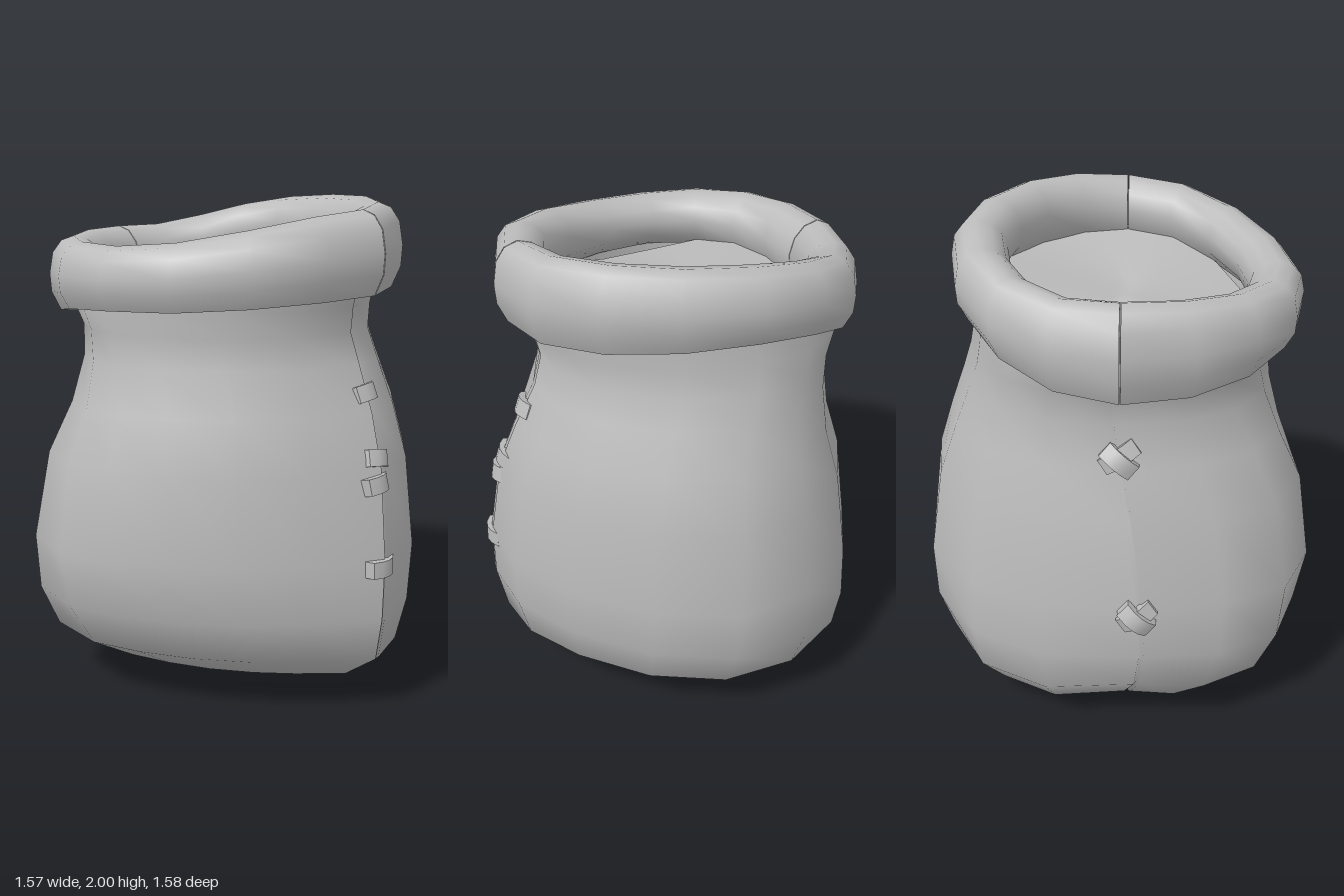
import * as THREE from 'three';
import { toCreasedNormals } from 'three/addons/utils/BufferGeometryUtils.js';

const V = (x, y, z) => new THREE.Vector3(x, y, z);

// Skin a grid of points; rows run bottom to top, columns run right, front, left, back
function loft(rows, wrapColumns, wrapRows) {
  const n = rows[0].length, m = rows.length, index = [];
  for (let i = 0; i < (wrapRows ? m : m - 1); i++) {
    for (let j = 0; j < (wrapColumns ? n : n - 1); j++) {
      const i2 = (i + 1) % m, j2 = (j + 1) % n;
      const a = i * n + j, b = i * n + j2, c = i2 * n + j2, d = i2 * n + j;
      index.push(a, d, c, a, c, b);
    }
  }
  const geometry = new THREE.BufferGeometry().setFromPoints(rows.flat());
  geometry.setIndex(index);
  geometry.computeVertexNormals();
  return geometry;
}

// Outline of the sack at its widest, [x, z], starting at the right seam
const OUTLINE = [
  [0.77, 0.11], [0.58, 0.37], [0.38, 0.54], [0.15, 0.67], [-0.08, 0.76], [-0.3, 0.79],
  [-0.55, 0.68], [-0.67, 0.43], [-0.73, 0.11], [-0.7, -0.27], [-0.56, -0.55], [-0.31, -0.75],
  [0, -0.79], [0.31, -0.65], [0.58, -0.41], [0.74, -0.15],
];

// y, left x, right x, front z, back z, seam z, blend from skewed ellipse to outline, corner bulge
const BODY = [
  [0.05, -0.36, 0.32, 0.21, -0.41, 0.04, 1, 0.12],
  [0.12, -0.56, 0.57, 0.43, -0.57, 0.06, 1, 0.15],
  [0.24, -0.66, 0.73, 0.63, -0.69, 0.1, 1, 0.12],
  [0.42, -0.715, 0.765, 0.74, -0.765, 0.12, 1, 0.05],
  [0.65, -0.73, 0.765, 0.79, -0.785, 0.11, 1, 0],
  [1.0, -0.68, 0.715, 0.75, -0.735, 0.07, 0.8, 0],
  [1.2, -0.62, 0.645, 0.67, -0.67, 0.03, 0.5, 0],
  [1.38, -0.6, 0.565, 0.615, -0.605, 0, 0.2, 0],
  [1.5, -0.62, 0.53, 0.595, -0.565, 0.01, 0, 0],
  [1.6, -0.67, 0.55, 0.615, -0.545, 0.03, 0, 0],
  [1.74, -0.65, 0.58, 0.6, -0.53, 0.03, 0, 0],
];

function bodyRing([y, xL, xR, zF, zB, seam, blend, bulge]) {
  const cx = (xL + xR) / 2, rx = (xR - xL) / 2, ring = [];
  OUTLINE.forEach(([px, pz], j) => {
    const ux = (px - 0.02) / 0.75, uz = (pz - 0.11) / (pz > 0.11 ? 0.68 : 0.9);
    const len = Math.hypot(ux, uz), c = ux / len, s = uz / len;
    // Left corners sag outward, right corners draw in a little
    const corner = 1 - bulge * 2 * c * Math.abs(c * s) * (c > 0 ? 0.4 : 1);
    const k = (blend + (1 - blend) / len) * corner;
    const x = cx + ux * k * rx - (1 - blend) * 0.07 * s * s;
    const z = seam + uz * k * (uz > 0 ? zF - seam : seam - zB);
    if (j % 8) return ring.push(V(x, y, z));
    // Narrow groove where the two panels meet
    const side = j ? -1 : 1;
    ring.push(V(x, y, z - side * 0.01), V(x - side * 0.02, y, z), V(x, y, z + side * 0.01));
  });
  return ring;
}

// Tilted rim: height at right, front, left and back blended round the ring
function around(t, right, front, left, back) {
  const c = Math.cos(t), s = Math.sin(t);
  return c * c * (c > 0 ? right : left) + s * s * (s > 0 ? front : back);
}
const rimTop = t => around(t, 1.965, 1.835, 1.865, 1.985) + 0.05 * Math.cos(t) * Math.max(0, -Math.sin(t));
const rimBottom = t => around(t, 1.65, 1.6, 1.51, 1.715);
function rimPoint(t, inset, y) {
  const s = Math.sin(t);
  return V(-0.03 + Math.cos(t) * (0.71 - inset) - 0.09 * s * s, y,
    0.035 + s * ((s > 0 ? 0.685 : 0.655) - inset));
}

// Rolled cuff section: [inset from outside, height fraction]
const CUFF = [
  [0.04, 0], [0.005, 0.25], [0, 0.5], [0.015, 0.78], [0.05, 0.94], [0.1, 1],
  [0.155, 0.95], [0.195, 0.82], [0.215, 0.62], [0.2, 0.35], [0.13, 0.08],
];

function cuffHalf(start) {
  const steps = 8, gap = 0.004;
  const angles = Array.from({ length: steps + 1 }, (_, j) => start + gap + (Math.PI - 2 * gap) * j / steps);
  const rows = CUFF.map(([inset, h]) =>
    angles.map(t => rimPoint(t, inset, THREE.MathUtils.lerp(rimBottom(t), rimTop(t), h))));
  // Extra columns collapsed to the section centre close both ends
  const centre = t => rimPoint(t, 0.1, (rimBottom(t) + rimTop(t)) / 2);
  rows.forEach(row => {
    row.unshift(centre(angles[0]));
    row.push(centre(angles[steps]));
  });
  return toCreasedNormals(loft(rows, false, true), 0.95);
}

// Uneven surface closing the mouth of the sack
function fillingGeometry() {
  const n = 16, rows = [0.16, 0.3, 0.48, 0.6].map((inset, i) =>
    Array.from({ length: n }, (_, j) => {
      const t = j / n * Math.PI * 2;
      const edge = rimTop(t) - 0.22 + 0.025 * Math.sin(3 * t + 1);
      return rimPoint(t, inset, THREE.MathUtils.lerp(edge, 1.68, i / 3));
    }));
  rows.push(Array.from({ length: n }, () => V(-0.08, 1.68, 0.04)));
  return loft(rows, true, false);
}

// Short strap bent over the seam
function stitchGeometry(length) {
  const geometry = new THREE.BoxGeometry(0.04, 0.065, length, 1, 1, 4);
  const p = geometry.attributes.position;
  for (let i = 0; i < p.count; i++) {
    const u = p.getZ(i) / (length / 2);
    p.setX(i, p.getX(i) - 0.028 * u * u);
  }
  return toCreasedNormals(geometry, 0.7);
}

export function createModel() {
  const group = new THREE.Group();
  const cloth = new THREE.MeshStandardMaterial({ color: 0xbcbcbc, side: THREE.DoubleSide });
  cloth.name = 'greyCloth';
  const add = (name, geometry) => {
    const mesh = new THREE.Mesh(geometry, cloth);
    mesh.name = name;
    group.add(mesh);
    return mesh;
  };

  // Sack body, closed to a point underneath
  const rows = BODY.map(bodyRing);
  rows.unshift(rows[0].map(() => V(0, 0.005, 0.02)));
  add('sackBody', loft(rows, true, false));

  // Cuff halves and filling
  add('frontCuff', cuffHalf(0));
  add('backCuff', cuffHalf(Math.PI));
  add('filling', fillingGeometry());

  // Stitches: side, x, y, z, tilt, lean, length
  const stitches = [
    [1, 0.615, 1.28, 0.02, 0.05, 0.35, 0.125],
    [1, 0.7, 1.04, 0.065, -0.2, 0.25, 0.125],
    [1, 0.722, 0.95, 0.095, 0.08, 0.2, 0.125],
    [1, 0.765, 0.63, 0.115, 0, 0.04, 0.14],
    [-1, 0.625, 1.26, 0.03, 0.6, 0.25, 0.15],
    [-1, 0.642, 1.25, 0.03, -0.7, 0.25, 0.14],
    [-1, 0.745, 0.63, 0.1, 0.6, 0.05, 0.15],
    [-1, 0.765, 0.63, 0.1, -0.7, 0.05, 0.14],
  ];
  for (const [side, x, y, z, tilt, lean, length] of stitches) {
    const mesh = add(side > 0 ? 'leftStitch' : 'rightStitch', stitchGeometry(length));
    mesh.position.set(side * x, y, z);
    mesh.rotation.set(tilt, side > 0 ? 0 : Math.PI, lean, 'YZX');
  }
  return group;
}
